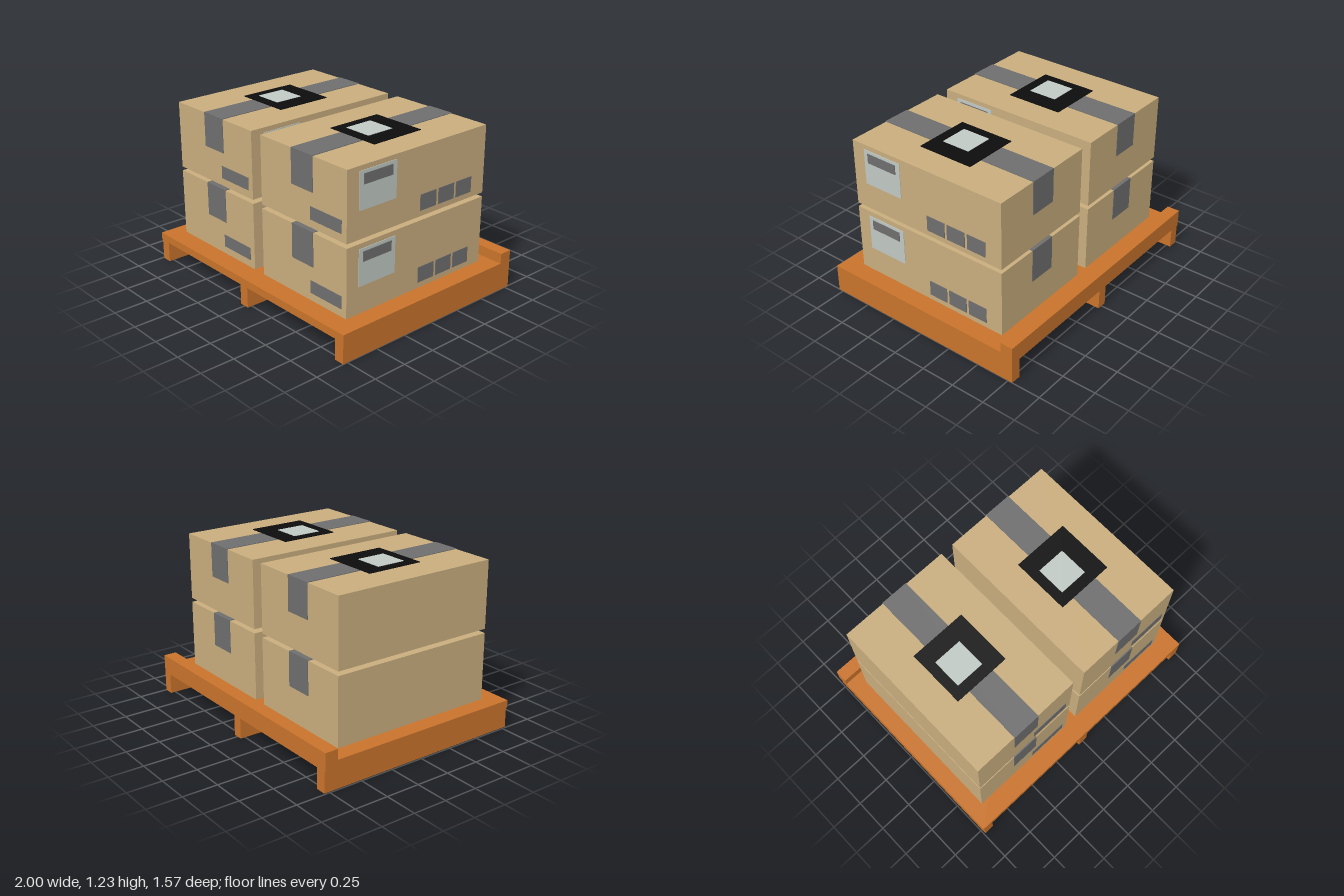
import * as THREE from 'three';

const mat = (name, color) => {
  const m = new THREE.MeshStandardMaterial({ color });
  m.name = name;
  return m;
};

// Adds a box spanning the given [min, max] ranges
function addBlock(parent, name, material, [x0, x1], [y0, y1], [z0, z1]) {
  const mesh = new THREE.Mesh(new THREE.BoxGeometry(x1 - x0, y1 - y0, z1 - z0), material);
  mesh.position.set((x0 + x1) / 2, (y0 + y1) / 2, (z0 + z1) / 2);
  mesh.name = name;
  parent.add(mesh);
}

export function createModel() {
  const orange = mat('palletOrange', 0xc8732b);
  const cardboard = mat('cardboard', 0xc8ad7d);
  const grey = mat('tapeGrey', 0x6f6e6e);
  const pale = mat('labelPale', 0xc0c9c4);
  const black = mat('plateBlack', 0x0c0c0c);

  const model = new THREE.Group();
  model.name = 'loadedPallet';

  // Pallet: deck, raised rear rail and three runners
  const pallet = new THREE.Group();
  pallet.name = 'pallet';
  model.add(pallet);
  const depth = [-0.785, 0.785];
  addBlock(pallet, 'deck', orange, [-1, 1], [0.15, 0.206], depth);
  addBlock(pallet, 'rearRail', orange, [-1, 1], [0.206, 0.28], [-0.785, -0.69]);
  for (const span of [[-0.99, -0.915], [-0.04, 0.035], [0.925, 1]]) {
    addBlock(pallet, 'runner', orange, span, [0, 0.15], depth);
  }

  // Carton with its base at y = 0, centred on x = 0
  const T = 0.004; // thickness of tape and labels
  const W = 0.415;
  const back = -0.6;
  const front = 0.645;
  function makeCarton(height) {
    const carton = new THREE.Group();
    carton.name = 'carton';
    addBlock(carton, 'cartonBody', cardboard, [-W, W], [0, height], [back, front]);

    // Tape over the top, folded down the front and back
    const tape = [-0.103, 0.103];
    addBlock(carton, 'topTape', grey, tape, [height, height + T], [back - T, front + T]);
    addBlock(carton, 'frontTape', grey, tape, [height - 0.242, height], [front, front + T]);
    addBlock(carton, 'backTape', grey, tape, [height - 0.242, height], [back - T, back]);

    // Front strip label
    addBlock(carton, 'frontLabel', grey, [0.077, 0.37], [0.056, 0.146], [front, front + T]);

    // Shipping sheet and handling squares on the left side
    addBlock(carton, 'shippingSheet', pale, [W, W + T], [0.192, 0.452], [0.23, 0.543]);
    addBlock(carton, 'sheetBar', grey, [W + T, W + 2 * T], [0.36, 0.43], [0.266, 0.51]);
    for (let i = 0; i < 3; i++) {
      const z = 0.01 - i * 0.168;
      addBlock(carton, 'handlingSquare', grey, [W, W + T], [0.04, 0.152], [z - 0.148, z]);
    }
    return carton;
  }

  // Two stacks of two cartons, each with a dark plate on top
  for (const x of [-0.47, 0.457]) {
    const stack = new THREE.Group();
    stack.name = 'cartonStack';
    stack.position.x = x;
    model.add(stack);
    for (const [y, height] of [[0.21, 0.488], [0.728, 0.486]]) {
      const carton = makeCarton(height);
      carton.position.y = y;
      stack.add(carton);
    }
    addBlock(stack, 'topPlate', black, [-0.2, 0.213], [1.218, 1.223], [-0.188, 0.231]);
    // Plain pale patch on the plate
    addBlock(stack, 'platePatch', pale, [-0.13, 0.08], [1.223, 1.226], [-0.06, 0.155]);
  }
  return model;
}
